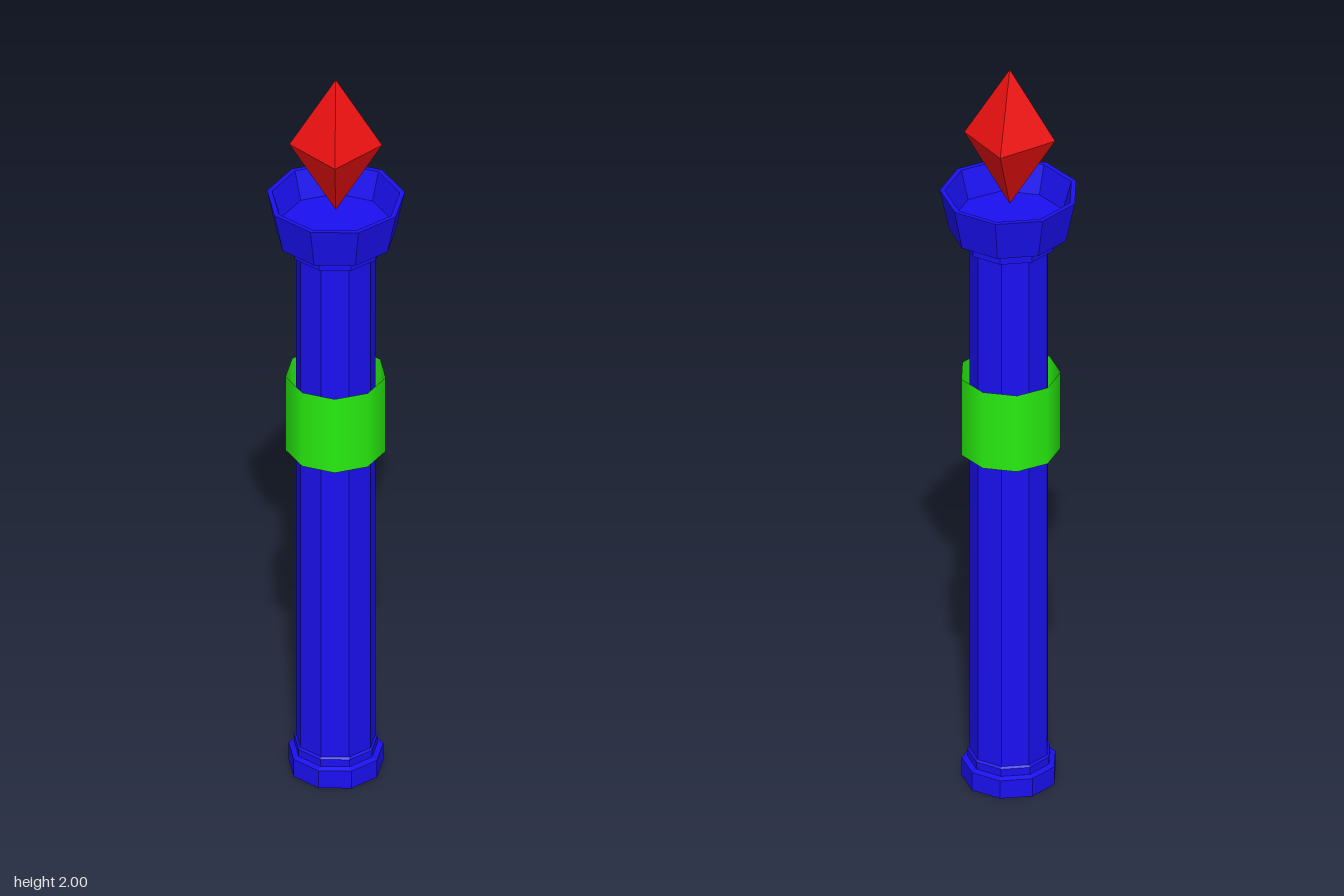
import * as THREE from 'three';

const SIDES = 9;
const CENTRE_Z = 0.0035;

function material(color, options = {}) {
  return new THREE.MeshStandardMaterial({ color, ...options });
}

// Nine-sided turned part, with a corner at the back and a flat at the front
function turned(name, profile, mat) {
  const points = profile.map(([r, y]) => new THREE.Vector2(r, y));
  const mesh = new THREE.Mesh(new THREE.LatheGeometry(points, SIDES, Math.PI), mat);
  mesh.name = name;
  return mesh;
}

export function createModel() {
  const group = new THREE.Group();
  group.name = 'torch';
  const blue = material(0x1a10f0, { flatShading: true });
  const green = material(0x28ee10, { side: THREE.DoubleSide });
  const red = material(0xee1010, { flatShading: true });

  // Stepped foot
  group.add(turned('foot', [
    [0, 0], [0.119, 0], [0.119, 0.05], [0.105, 0.055], [0.105, 0.075], [0.1, 0.08],
  ], blue));

  // Long faceted handle
  group.add(turned('handle', [[0.1, 0.08], [0.1, 1.51]], blue));

  // Collar and flared cup with a sunken floor
  group.add(turned('cup', [
    [0.1, 1.51], [0.116, 1.51], [0.116, 1.545], [0.15, 1.545],
    [0.1735, 1.655], [0.1605, 1.655], [0.1385, 1.58], [0, 1.58],
  ], blue));

  // Loose open grip band, with a corner at the front
  const band = new THREE.Mesh(
    new THREE.CylinderGeometry(0.126, 0.126, 0.215, SIDES, 1, true), green);
  band.name = 'gripBand';
  band.position.y = 1.0375;
  group.add(band);

  // Four-sided flame, pointed at both ends
  const flame = new THREE.Mesh(new THREE.OctahedronGeometry(1), red);
  flame.name = 'flame';
  flame.scale.set(0.115, 0.19, 0.115);
  flame.position.y = 1.81;
  group.add(flame);

  for (const part of group.children) part.position.z = CENTRE_Z;
  return group;
}
